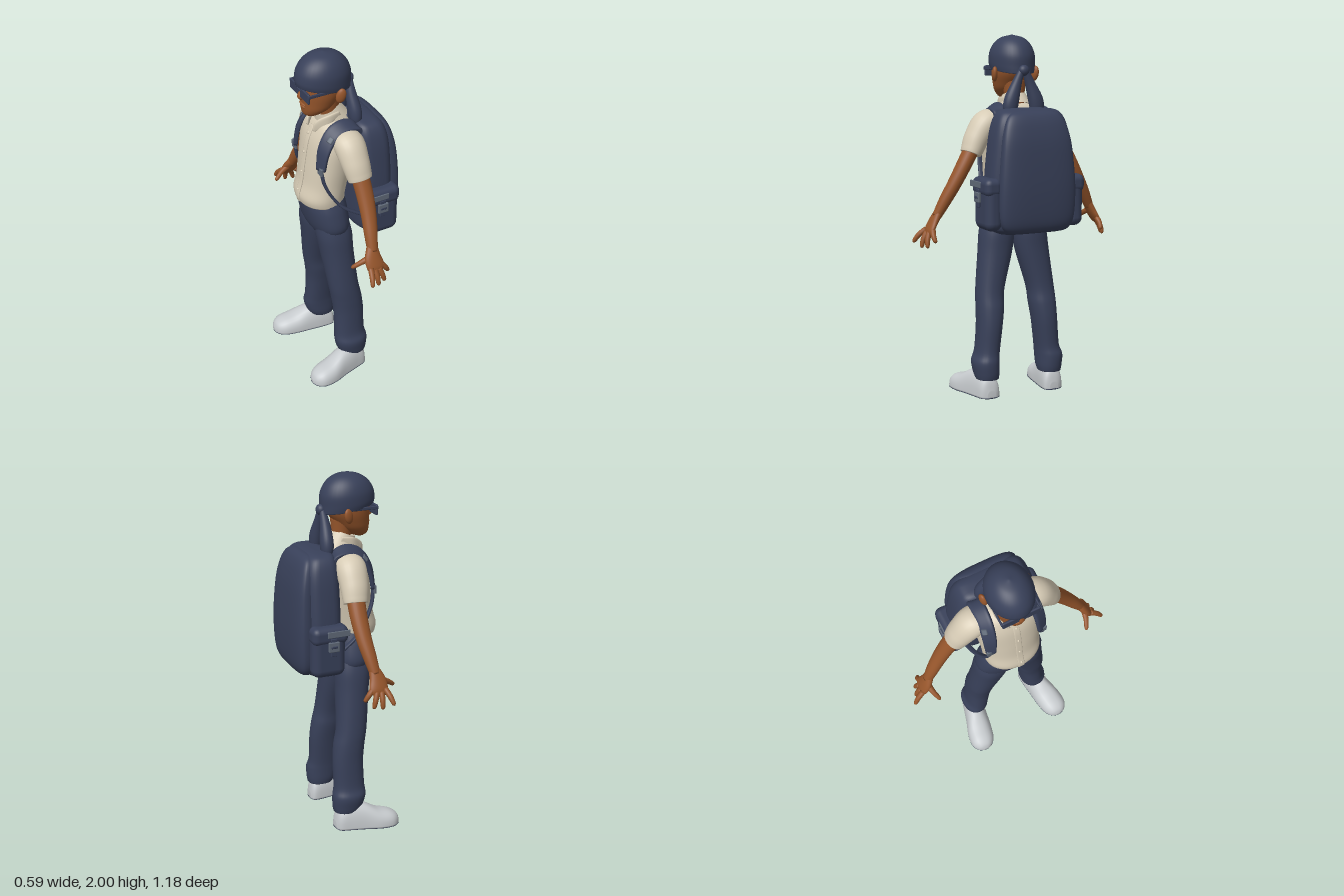
import * as THREE from 'three';
import { RoundedBoxGeometry } from 'three/addons/geometries/RoundedBoxGeometry.js';

const X = new THREE.Vector3(1, 0, 0), Y = new THREE.Vector3(0, 1, 0), Z = new THREE.Vector3(0, 0, 1);

const mat = (name, color) => Object.assign(new THREE.MeshStandardMaterial({ color }), { name });

// Smooth interpolation through rows of numbers
function spline(rows, t) {
  const last = rows.length - 1, i = Math.min(Math.floor(t), last - 1), f = t - i;
  const [a, b, c, d] = [i - 1, i, i + 1, i + 2].map(k => rows[Math.max(0, Math.min(last, k))]);
  return b.map((_, k) => b[k] + 0.5 * f * (c[k] - a[k] + f * (2 * a[k] - 5 * b[k] + 4 * c[k] - d[k]
    + f * (3 * (b[k] - c[k]) + d[k] - a[k]))));
}

// Closed skin through sections [x, y, z, radius along ref, radius across]; n sets how square they are
function sweep(rows, { ref = X, axis = null, n = 2, sides = 28, steps = 6, rule = null } = {}) {
  const pos = [], idx = [], max = rows.length - 1, count = max * steps;
  const at = t => new THREE.Vector3(...spline(rows, t).slice(0, 3));
  for (let i = 0; i <= count; i++) {
    const t = i / steps, s = spline(rows, t), c = at(t);
    const dir = axis ? axis.clone()
      : at(Math.min(max, t + 0.05)).sub(at(Math.max(0, t - 0.05))).normalize();
    const u = ref.clone().addScaledVector(dir, -ref.dot(dir)).normalize();
    const v = dir.clone().cross(u);
    for (let j = 0; j < sides; j++) {
      const a = j / sides * Math.PI * 2, ca = Math.cos(a), sa = Math.sin(a);
      const p = c.clone()
        .addScaledVector(u, Math.max(0.001, s[3]) * Math.sign(ca) * Math.abs(ca) ** (2 / n))
        .addScaledVector(v, Math.max(0.001, s[4]) * Math.sign(sa) * Math.abs(sa) ** (2 / n));
      pos.push(p.x, p.y, p.z);
      if (i < count) {
        const p0 = i * sides + j, p1 = i * sides + (j + 1) % sides;
        idx.push(p0, p1, p0 + sides, p1, p1 + sides, p0 + sides);
      }
    }
  }
  const base = pos.length / 3, end = count * sides;
  pos.push(...rows[0].slice(0, 3), ...rows[max].slice(0, 3));
  for (let j = 0; j < sides; j++) {
    const k = (j + 1) % sides;
    idx.push(base, k, j, base + 1, end + j, end + k);
  }
  const g = new THREE.BufferGeometry();
  g.setAttribute('position', new THREE.Float32BufferAttribute(pos, 3));
  g.setIndex(idx);
  if (rule) {
    const p = g.attributes.position, w = new THREE.Vector3();
    for (let i = 0; i < p.count; i++) {
      rule(w.fromBufferAttribute(p, i));
      p.setXYZ(i, w.x, w.y, w.z);
    }
  }
  g.computeVertexNormals();
  return g;
}

// Copy reflected to the other side, with its faces turned back outward
function reflect(g) {
  const m = (g.index ? g.toNonIndexed() : g.clone()).scale(1, 1, -1);
  for (const { array, itemSize: k, count } of Object.values(m.attributes))
    for (let i = 0; i < count; i += 3) for (let c = 0; c < k; c++) {
      const p = (i + 1) * k + c, q = p + k;
      [array[p], array[q]] = [array[q], array[p]];
    }
  return m;
}

const box = (w, h, d, x, y, z, r = 0.004) => new RoundedBoxGeometry(w, h, d, 3, r).translate(x, y, z);
const ball = (rx, ry, rz, x, y, z) => new THREE.SphereGeometry(1, 20, 14).scale(rx, ry, rz).translate(x, y, z);

export function createModel() {
  const group = new THREE.Group();
  const navy = mat('navy cloth', 0x384059), cream = mat('cream shirt', 0xd6cbb5);
  const skin = mat('brown skin', 0x95552b), white = mat('pale shoe', 0xc6cacd);
  const grey = mat('grey buckle', 0x606a78);
  cream.side = THREE.DoubleSide;
  const add = (name, g, m) => {
    const mesh = new THREE.Mesh(g, m);
    mesh.name = name;
    group.add(mesh);
  };
  const pair = (name, g, m) => {
    add(name + 'Left', g, m);
    add(name + 'Right', reflect(g), m);
  };

  // Head and neck
  add('head', sweep([[-.155, 1.65, 0, .022, .022], [-.142, 1.668, 0, .055, .052], [-.12, 1.7, 0, .083, .08],
    [-.103, 1.74, 0, .1, .095], [-.085, 1.8, 0, .12, .108], [-.08, 1.88, 0, .12, .105], [-.08, 1.94, 0, .08, .07]],
  { axis: Y }), skin);
  add('neck', sweep([[-.035, 1.56, 0, .055, .055], [-.045, 1.65, 0, .052, .053], [-.06, 1.76, 0, .07, .07]],
    { axis: Y }), skin);
  add('nose', sweep([[-.2, 1.81, 0, .01, .01], [-.211, 1.775, 0, .016, .018], [-.208, 1.757, 0, .01, .014]],
    { axis: Y.clone().negate() }), skin);
  add('upperLip', ball(.012, .008, .03, -.198, 1.727, 0), skin);
  add('lowerLip', ball(.012, .009, .026, -.196, 1.712, 0), skin);
  pair('ear', ball(.026, .042, .016, 0, 0, 0).rotateZ(-.25).rotateY(-.35).translate(-.04, 1.79, .122), skin);

  // Head wrap with knot and two tails
  add('headWrap', sweep([[-.08, 1.812, 0, .15, .115], [-.082, 1.845, 0, .152, .121], [-.078, 1.9, 0, .146, .119],
    [-.077, 1.95, 0, .118, .098], [-.078, 1.985, 0, .07, .06], [-.08, 2, 0, .005, .005]],
  { axis: Y, sides: 36, rule: p => { p.y -= (p.x + .075) * .16 * (2 - p.y) / .19; } }), navy);
  add('wrapKnot', ball(.026, .03, .03, .07, 1.81, 0), navy);
  pair('wrapTail', sweep([[.066, 1.815, .01, .016, .016], [.062, 1.74, .04, .027, .028], [.066, 1.65, .073, .036, .042],
    [.068, 1.59, .082, .03, .036], [.068, 1.565, .082, .006, .008]]), navy);

  // Sunglasses
  pair('lens', box(.014, .058, .094, -.212, 1.803, .056, .006), navy);
  pair('templeArm', box(.165, .018, .01, -.135, 1.818, .105), navy);
  add('bridge', box(.012, .014, .04, -.215, 1.815, 0), navy);

  // Shirt
  add('shirtBody', sweep([[-.105, 1.125, 0, .126, .155], [-.108, 1.17, 0, .129, .16], [-.09, 1.25, 0, .125, .163],
    [-.072, 1.37, 0, .126, .176], [-.055, 1.5, 0, .12, .188], [-.045, 1.575, 0, .1, .17], [-.042, 1.615, 0, .075, .1],
    [-.042, 1.63, 0, .05, .06]], { axis: Y, n: 2.15, sides: 36 }), cream);
  pair('sleeve', sweep([[-.03, 1.55, .11, .075, .05], [-.025, 1.525, .182, .084, .074], [-.02, 1.45, .24, .077, .068],
    [-.014, 1.39, .27, .07, .06], [-.012, 1.365, .281, .066, .055]]), cream);
  add('collarBand', new THREE.CylinderGeometry(.066, .092, .075, 28, 1, true).rotateZ(.38).translate(-.05, 1.64, 0), cream);
  pair('collarFlap', sweep([[-.02, 1.655, .07, .012, .006], [-.08, 1.636, .075, .026, .008], [-.13, 1.598, .05, .03, .009],
    [-.155, 1.567, .035, .006, .006]], { ref: Y, n: 3 }), cream);
  add('buttonPlacket', sweep([[-.142, 1.58, 0, .018, .005], [-.176, 1.5, 0, .018, .005], [-.199, 1.37, 0, .018, .005],
    [-.217, 1.25, 0, .018, .005], [-.237, 1.17, 0, .018, .005], [-.231, 1.128, 0, .018, .005]], { ref: Z, n: 4 }), cream);
  for (const [x, y] of [[-.165, 1.54], [-.194, 1.43], [-.211, 1.31], [-.235, 1.2]])
    add('shirtButton', ball(.008, .007, .007, x, y, 0), cream);

  // Arms and hands
  pair('arm', sweep([[-.014, 1.42, .258, .05, .043], [-.01, 1.3, .325, .047, .04], [-.015, 1.2, .38, .042, .037],
    [-.028, 1.11, .43, .036, .033], [-.04, 1.03, .472, .028, .025]]), skin);
  pair('palm', sweep([[-.036, 1.06, .457, .028, .023], [-.047, 1.0, .49, .047, .022], [-.042, .955, .515, .05, .018],
    [-.04, .932, .525, .034, .009]]), skin);
  const fingers = [[-.076, .96, .52, -.1, .89, .588], [-.053, .948, .524, -.047, .865, .56],
    [-.028, .948, .52, -.002, .868, .543], [-.008, .96, .508, .037, .9, .51], [-.06, 1.005, .485, -.157, .95, .455]];
  for (const [a, b, c, d, e, f] of fingers) {
    const thumb = d - a < -.08, r = thumb ? .019 : .016;
    pair(thumb ? 'thumb' : 'finger', sweep([[a, b, c, r, r], [(a + d) / 2, (b + e) / 2 + .004, (c + f) / 2 + .004, .0145, .0145],
      [d + (a - d) * .1, e + (b - e) * .1, f + (c - f) * .1, .011, .011], [d, e, f, .003, .003]],
    { ref: thumb ? Z : X, sides: 12, steps: 4 }), skin);
  }

  // Trousers
  add('trouserHips', sweep([[-.072, .9, 0, .05, .08], [-.073, .92, 0, .085, .15], [-.078, .98, 0, .107, .194],
    [-.09, 1.08, 0, .113, .178], [-.094, 1.15, 0, .106, .15]], { axis: Y, n: 2.3 }), navy);
  pair('trouserLeg', sweep([[0, .105, .195, .074, .063], [-.008, .14, .196, .088, .07], [-.015, .2, .198, .096, .074],
    [-.019, .26, .186, .089, .066], [-.018, .4, .172, .088, .07], [-.028, .5, .163, .088, .076], [-.045, .6, .155, .086, .078],
    [-.063, .8, .116, .092, .095], [-.072, .92, .1, .099, .097], [-.078, 1.0, .095, .09, .08]], { axis: Y, n: 2.2 }), navy);

  // Shoes: flat-bottomed uppers on thin soles
  const shoe = [[.07, .012, .195, .03, .025], [.05, .012, .197, .1, .055], [-.01, .012, .206, .14, .064],
    [-.09, .012, .222, .13, .07], [-.17, .012, .24, .09, .078], [-.24, .012, .25, .07, .072],
    [-.28, .012, .252, .047, .047], [-.296, .012, .252, .015, .015]];
  const shoeOpts = { ref: Y, axis: X.clone().negate(), n: 2.4 };
  pair('shoe', sweep(shoe, { ...shoeOpts, rule: p => { p.y = Math.max(.005, p.y); } }), white);
  pair('shoeSole', sweep(shoe.map(([x, , z, , w]) => [x, .0035, z, .0035, w]), { ...shoeOpts, n: 4 }), navy);

  // Backpack body and rear panel
  add('backpackBody', sweep([[.13, .935, 0, .05, .15], [.13, .95, 0, .085, .205], [.13, 1.0, 0, .102, .243],
    [.13, 1.2, 0, .108, .25], [.13, 1.4, 0, .106, .232], [.128, 1.51, 0, .1, .213], [.122, 1.575, 0, .085, .187],
    [.115, 1.603, 0, .06, .15], [.11, 1.612, 0, .025, .08]], { axis: Y, n: 3.6, sides: 48 }), navy);
  add('backpackRearPanel', sweep([[.21, .945, 0, .02, .13], [.222, .962, 0, .042, .185], [.23, 1.03, 0, .055, .217],
    [.235, 1.2, 0, .057, .222], [.228, 1.4, 0, .052, .206], [.212, 1.51, 0, .046, .185], [.195, 1.572, 0, .036, .155],
    [.18, 1.597, 0, .022, .11], [.175, 1.602, 0, .006, .05]], { axis: Y, n: 3, sides: 48 }), navy);

  // Side pockets with flap and buckle
  pair('sidePocket', box(.19, .27, .1, .135, 1.1, .243, .045), navy);
  pair('pocketFlap', box(.205, .1, .1, .13, 1.2, .249, .035), navy);
  pair('pocketTrim', box(.13, .034, .008, .09, 1.212, .298, .003), grey);
  pair('pocketStrap', box(.035, .1, .012, .12, 1.14, .297), navy);
  pair('pocketBuckle', box(.06, .055, .016, .12, 1.145, .302), grey);
  pair('buckleBar', box(.036, .014, .02, .12, 1.145, .303), navy);

  // Shoulder straps, sloping outward over the shoulders
  const slope = { ref: new THREE.Vector3(.35, -.45, .82), n: 4 };
  const strap = [[.06, 1.54, .135, .036, .012], [.035, 1.595, .135, .038, .013], [-.03, 1.612, .135, .04, .013],
    [-.1, 1.582, .138, .04, .013], [-.152, 1.5, .144, .036, .013], [-.172, 1.39, .148, .028, .012]];
  pair('shoulderStrap', sweep(strap, slope), navy);
  const patch = [1.9, 3.05, 3.4].map(t => spline(strap, t));
  pair('strapPatch', sweep(patch.slice(1).map(([x, y, z, , h]) => [x, y - .008, z + .012, .016, h + .004]), slope), grey);
  pair('strapBuckle', box(.016, .045, .045, -.176, 1.385, .15), grey);
  pair('lowerStrap', sweep([[-.172, 1.39, .15, .013, .008], [-.158, 1.3, .16, .013, .008], [-.11, 1.2, .172, .013, .008],
    [-.05, 1.13, .19, .013, .008], [.06, 1.06, .21, .013, .008]], { ref: Z, n: 3 }), navy);
  return group;
}
